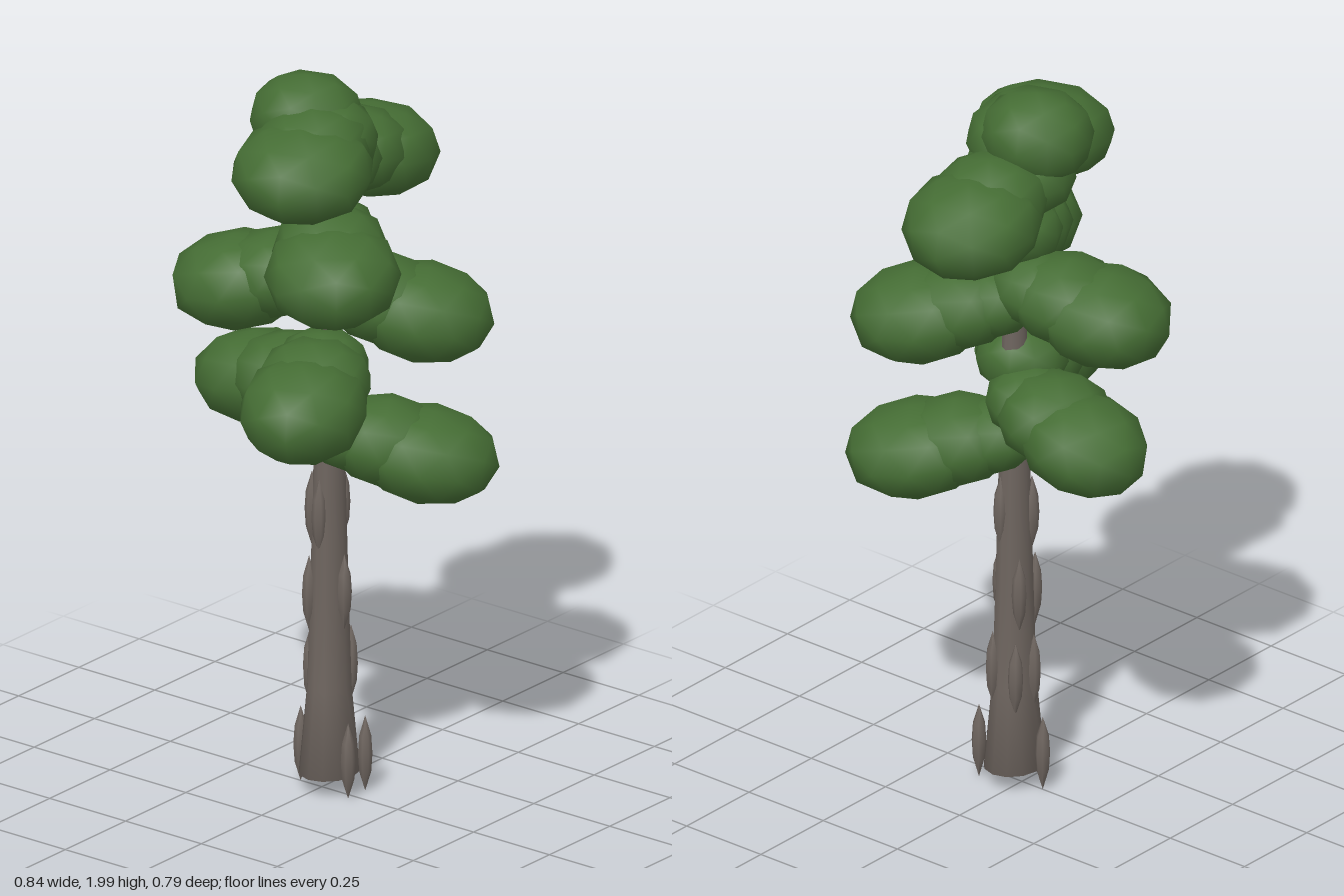
import * as THREE from 'three';

export function createModel() {
  const tree = new THREE.Group();
  tree.name = 'tree';
  const bark = new THREE.MeshStandardMaterial({ color: 0x6e655f });
  bark.name = 'greyBrownBark';
  const leaf = new THREE.MeshStandardMaterial({ color: 0x456d34 });
  leaf.name = 'needleGreen';

  const add = (name, geometry, material, parent = tree) => {
    const mesh = new THREE.Mesh(geometry, material);
    mesh.name = name;
    parent.add(mesh);
    return mesh;
  };
  const lathe = (points, sides) =>
    new THREE.LatheGeometry(points.map(([r, y]) => new THREE.Vector2(r, y)), sides);

  // Tapered trunk, flared at the foot
  const trunk = add('trunk', lathe(
    [[0, 0.06], [0.088, 0.06], [0.064, 0.3], [0.056, 0.55], [0.049, 0.8], [0.043, 1.05], [0.033, 1.4], [0.02, 1.75], [0, 1.75]], 12), bark);
  trunk.position.set(0.02, 0, -0.006);
  trunk.scale.x = 0.86;

  // Pointed bark ridges: angle around the trunk (0 = front), height, distance from its axis
  const ridgeGeo = lathe([[0, -0.105], [0.02, -0.05], [0.024, 0], [0.02, 0.05], [0, 0.105]], 7);
  const ridges = [
    [1.25, 0.115, 0.088], [2.05, 0.115, 0.094], [-1.5, 0.115, 0.09],
    [-1.3, 0.34, 0.055], [2.7, 0.35, 0.062], [-2.4, 0.33, 0.06],
    [-0.6, 0.56, 0.055], [1.5, 0.57, 0.052], [-2.2, 0.57, 0.051],
    [0.05, 0.78, 0.046], [-0.9, 0.79, 0.045], [2.9, 0.8, 0.044],
  ];
  const ridgeGroup = new THREE.Group();
  ridgeGroup.name = 'barkRidges';
  tree.add(ridgeGroup);
  ridges.forEach(([a, y, d]) => {
    const ridge = add('barkRidge', ridgeGeo, bark, ridgeGroup);
    ridge.position.set(0.02 + Math.sin(a) * d, y, -0.006 + Math.cos(a) * d);
    ridge.rotation.y = a;
    ridge.scale.set(0.85, 1, 0.8);
  });

  // Faceted, smooth-shaded foliage puff, a little fuller than an ellipsoid
  const puffGeo = new THREE.IcosahedronGeometry(1, 1);
  const pos = puffGeo.attributes.position;
  for (let i = 0; i < pos.count; i++) {
    const y = pos.getY(i);
    pos.setY(i, Math.sign(y) * Math.abs(y) ** 0.85);
  }
  // Each puff is tipped down towards its outer end
  const puff = (name, center, radii, yaw, droop, parent) => {
    const mesh = add(name, puffGeo, leaf, parent);
    mesh.position.copy(center);
    mesh.scale.set(...radii);
    mesh.rotation.set(droop, yaw, 0, 'YXZ');
  };

  // Boughs: centre of the outer puff, its radii across, up and outwards
  const boughs = [
    ['lowerRearBough', [0.238, 0.955, -0.137], [0.178, 0.12, 0.19]],
    ['lowerSideBough', [-0.242, 1.085, -0.04], [0.158, 0.12, 0.183]],
    ['lowerFrontBough', [0.115, 1.16, 0.22], [0.168, 0.128, 0.184]],
    ['middleRearBough', [0.228, 1.35, -0.133], [0.175, 0.124, 0.187]],
    ['middleSideBough', [-0.208, 1.398, 0.08], [0.172, 0.125, 0.183]],
    ['middleFrontBough', [0.168, 1.53, 0.167], [0.178, 0.123, 0.187]],
    ['upperRearBough', [-0.015, 1.718, -0.218], [0.182, 0.124, 0.186]],
    ['upperFrontBough', [0.08, 1.803, 0.182], [0.188, 0.12, 0.183]],
  ];
  const up = new THREE.Vector3(0, 1, 0);
  boughs.forEach(([name, c, r]) => {
    const bough = new THREE.Group();
    bough.name = name;
    tree.add(bough);
    const tip = new THREE.Vector3(...c);
    const root = new THREE.Vector3(0.02, c[1] + 0.02, 0);
    const yaw = Math.atan2(tip.x - root.x, tip.z - root.z);
    puff('outerFoliage', tip, r, yaw, 0.15, bough);
    // Two smaller puffs run back towards the trunk
    [[0.58, 0.025, 0.152, 0.113], [0.25, 0.035, 0.125, 0.095]].forEach(([t, rise, w, h]) => {
      const center = root.clone().lerp(tip, t);
      center.y += rise;
      puff('innerFoliage', center, [w, h, w], yaw, 0.1, bough);
    });
    // Limb joining the foliage to the trunk
    const dir = tip.clone().sub(root);
    const limb = add('limb', new THREE.CylinderGeometry(0.012, 0.022, dir.length(), 7), bark, bough);
    limb.position.copy(root).addScaledVector(dir, 0.5);
    limb.quaternion.setFromUnitVectors(up, dir.normalize());
  });

  // Crown
  puff('crown', new THREE.Vector3(-0.022, 1.88, 0.035), [0.152, 0.12, 0.14], 0.3, 0, tree);
  puff('crownSide', new THREE.Vector3(0.045, 1.84, 0.05), [0.145, 0.115, 0.14], 0.9, 0, tree);
  puff('crownBase', new THREE.Vector3(0.01, 1.77, 0), [0.15, 0.105, 0.15], 0, 0, tree);

  return tree;
}
